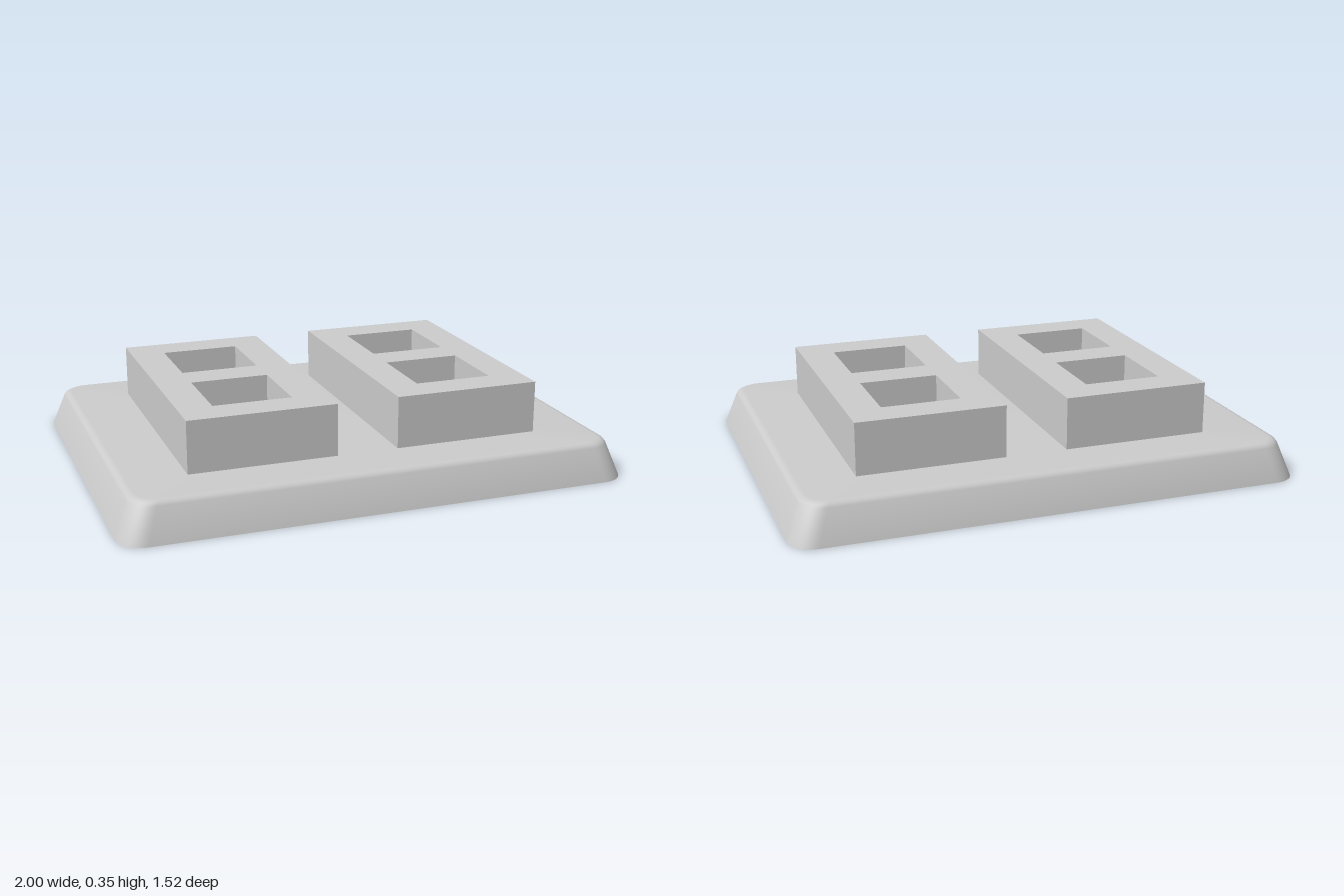
import * as THREE from 'three';
import { toCreasedNormals } from 'three/addons/utils/BufferGeometryUtils.js';

const material = new THREE.MeshStandardMaterial({ color: 0xcccccc });
const TOP = 0.15;

// Rounded-rectangle outline, anticlockwise seen from above
function roundedRing(halfX, halfZ, radius, y, steps = 10) {
  const ring = [];
  const corners = [[1, -1], [-1, -1], [-1, 1], [1, 1]];
  corners.forEach(([sx, sz], q) => {
    for (let i = 0; i <= steps; i++) {
      const a = (q + i / steps) * Math.PI / 2;
      ring.push([
        sx * (halfX - radius) + radius * Math.cos(a),
        y,
        sz * (halfZ - radius) - radius * Math.sin(a),
      ]);
    }
  });
  return ring;
}

// Skin a stack of rings and close both ends
function loft(rings) {
  const n = rings[0].length;
  const last = rings.length - 1;
  const points = rings.flat();
  const bottom = points.push([0, rings[0][0][1], 0]) - 1;
  const top = points.push([0, rings[last][0][1], 0]) - 1;
  const index = [];
  for (let i = 0; i < n; i++) {
    const j = (i + 1) % n;
    for (let r = 0; r < last; r++) {
      const a = r * n + i, b = r * n + j;
      index.push(a, b, b + n, a, b + n, a + n);
    }
    index.push(bottom, j, i, top, last * n + i, last * n + j);
  }
  const geometry = new THREE.BufferGeometry();
  geometry.setAttribute('position', new THREE.Float32BufferAttribute(points.flat(), 3));
  geometry.setIndex(index);
  return toCreasedNormals(geometry, 1.0);
}

function rectangle(path, cx, cy, w, h) {
  path.moveTo(cx - w / 2, cy - h / 2);
  path.lineTo(cx + w / 2, cy - h / 2);
  path.lineTo(cx + w / 2, cy + h / 2);
  path.lineTo(cx - w / 2, cy + h / 2);
  path.closePath();
  return path;
}

export function createModel() {
  const model = new THREE.Group();
  model.name = 'plateWithBlocks';

  // Tapered plate with a softened top edge
  const plate = new THREE.Mesh(loft([
    roundedRing(1.0, 0.762, 0.1, 0),
    roundedRing(0.95, 0.725, 0.09, 0.132),
    roundedRing(0.943, 0.718, 0.09, 0.143),
    roundedRing(0.932, 0.707, 0.085, 0.149),
    roundedRing(0.92, 0.695, 0.08, TOP),
  ]), material);
  plate.name = 'basePlate';
  model.add(plate);

  // Two blocks, each with a pair of square openings down to the plate
  const outline = rectangle(new THREE.Shape(), 0, 0, 0.58, 1.03);
  for (const side of [-1, 1]) {
    outline.holes.push(rectangle(new THREE.Path(), 0, side * 0.225, 0.31, 0.31));
  }
  const blockGeometry = new THREE.ExtrudeGeometry(outline, { depth: 0.205, bevelEnabled: false });
  blockGeometry.rotateX(-Math.PI / 2);
  for (const [name, x] of [['rightBlock', -0.406], ['leftBlock', 0.418]]) {
    const block = new THREE.Mesh(blockGeometry, material);
    block.name = name;
    block.position.set(x, TOP, -0.002);
    model.add(block);
  }
  return model;
}
